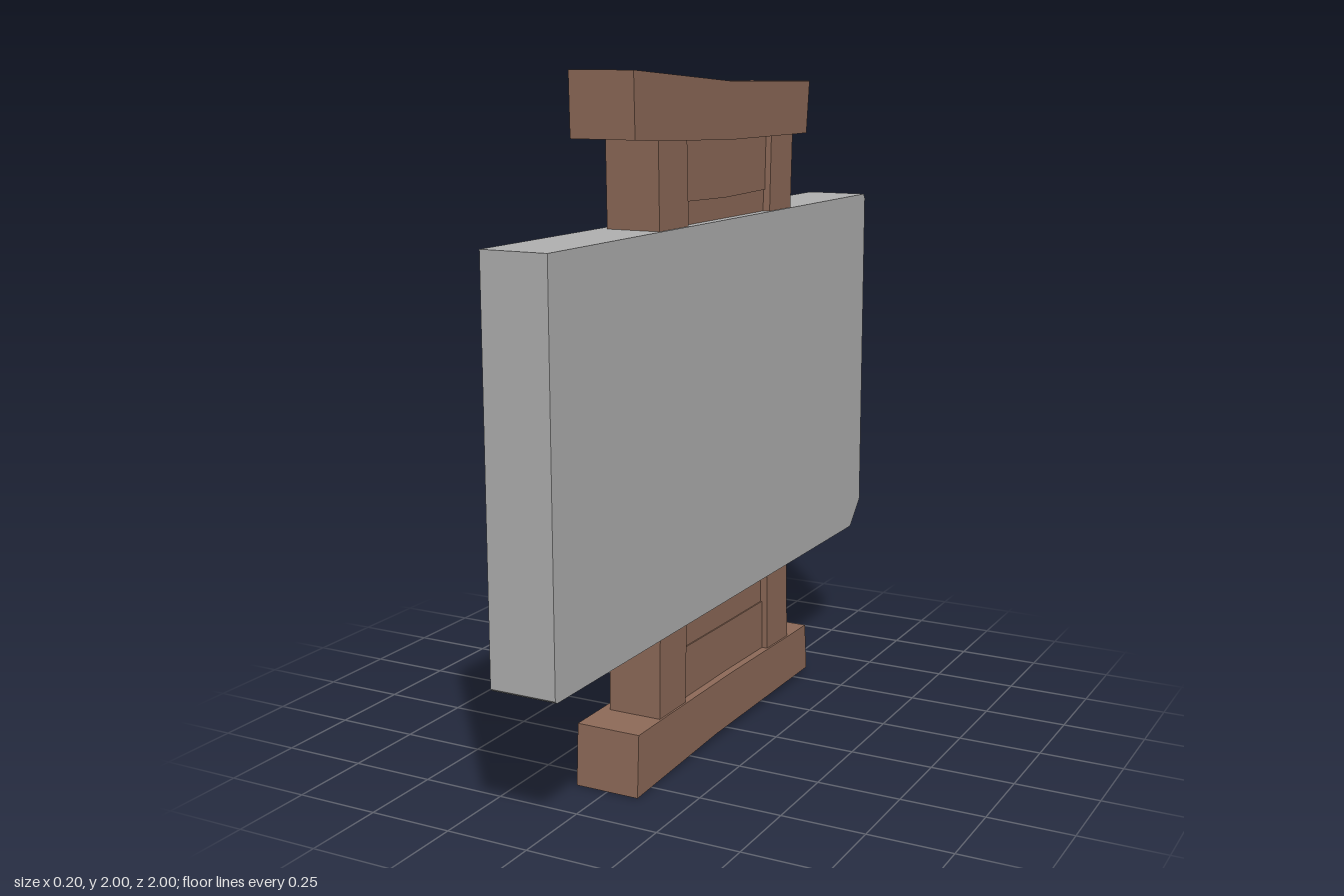
import * as THREE from 'three';

// Extrude a side outline of [z, y] points from x0 to x1
function slab(name, points, x0, x1, material) {
  const shape = new THREE.Shape(points.map(([z, y]) => new THREE.Vector2(-z, y)));
  const geometry = new THREE.ExtrudeGeometry(shape, { depth: x1 - x0, bevelEnabled: false });
  geometry.rotateY(Math.PI / 2);
  geometry.translate(x0, 0, 0);
  const mesh = new THREE.Mesh(geometry, material);
  mesh.name = name;
  return mesh;
}

export function createModel() {
  const model = new THREE.Group();
  model.name = 'hangingSign';
  const stone = new THREE.MeshStandardMaterial({ color: 0xb2b2b2 });
  stone.name = 'grey';
  const wood = new THREE.MeshStandardMaterial({ color: 0x8f6b59 });
  wood.name = 'brown';
  const add = (name, points, x0, x1, material = wood) =>
    model.add(slab(name, points, x0, x1, material));

  // Large board with a cut lower back corner and slightly trimmed edges
  add('board', [
    [1, 1.57], [1, 0.427], [0.992, 0.42], [-0.92, 0.42],
    [-1, 0.5], [-1, 1.555], [-0.99, 1.57],
  ], -0.1, 0.098, stone);

  // Slightly bowed end beams
  add('topBeam', [
    [0.575, 2], [0.57, 1.82], [0.43, 1.812], [0, 1.797],
    [-0.42, 1.795], [-0.51, 1.795], [-0.53, 1.955], [0, 1.962],
  ], -0.1, 0.098);
  add('bottomBeam', [
    [0.575, 0.183], [0.585, 0], [0.1, 0.018], [-0.56, 0.018],
    [-0.545, 0.17], [-0.41, 0.172], [0, 0.181], [0.43, 0.183],
  ], -0.1, 0.098);

  // Posts joining the beams to the board
  add('topFrontPost', [[0.435, 1.82], [0.43, 1.55], [0.263, 1.55], [0.272, 1.815]], -0.072, 0.092);
  add('topBackPost', [[-0.268, 1.81], [-0.258, 1.55], [-0.408, 1.55], [-0.42, 1.81]], -0.072, 0.092);
  add('bottomFrontPost', [[0.438, 0.44], [0.443, 0.165], [0.288, 0.165], [0.28, 0.44]], -0.072, 0.092);
  add('bottomBackPost', [[-0.258, 0.44], [-0.265, 0.16], [-0.415, 0.16], [-0.407, 0.44]], -0.072, 0.092);

  // Recessed infill panels and the rails beside the board
  add('topPanel', [[0.28, 1.81], [0.275, 1.637], [0, 1.63], [-0.27, 1.635], [-0.275, 1.81]], -0.053, 0.074);
  add('topRail', [[0.275, 1.64], [0.275, 1.55], [-0.27, 1.55], [-0.27, 1.64]], -0.05, 0.07);
  add('bottomPanel', [[0.285, 0.338], [0.29, 0.165], [-0.27, 0.165], [-0.265, 0.33], [0, 0.333]], -0.053, 0.074);
  add('bottomRail', [[0.285, 0.44], [0.285, 0.325], [-0.265, 0.325], [-0.265, 0.44]], -0.05, 0.07);

  return model;
}
